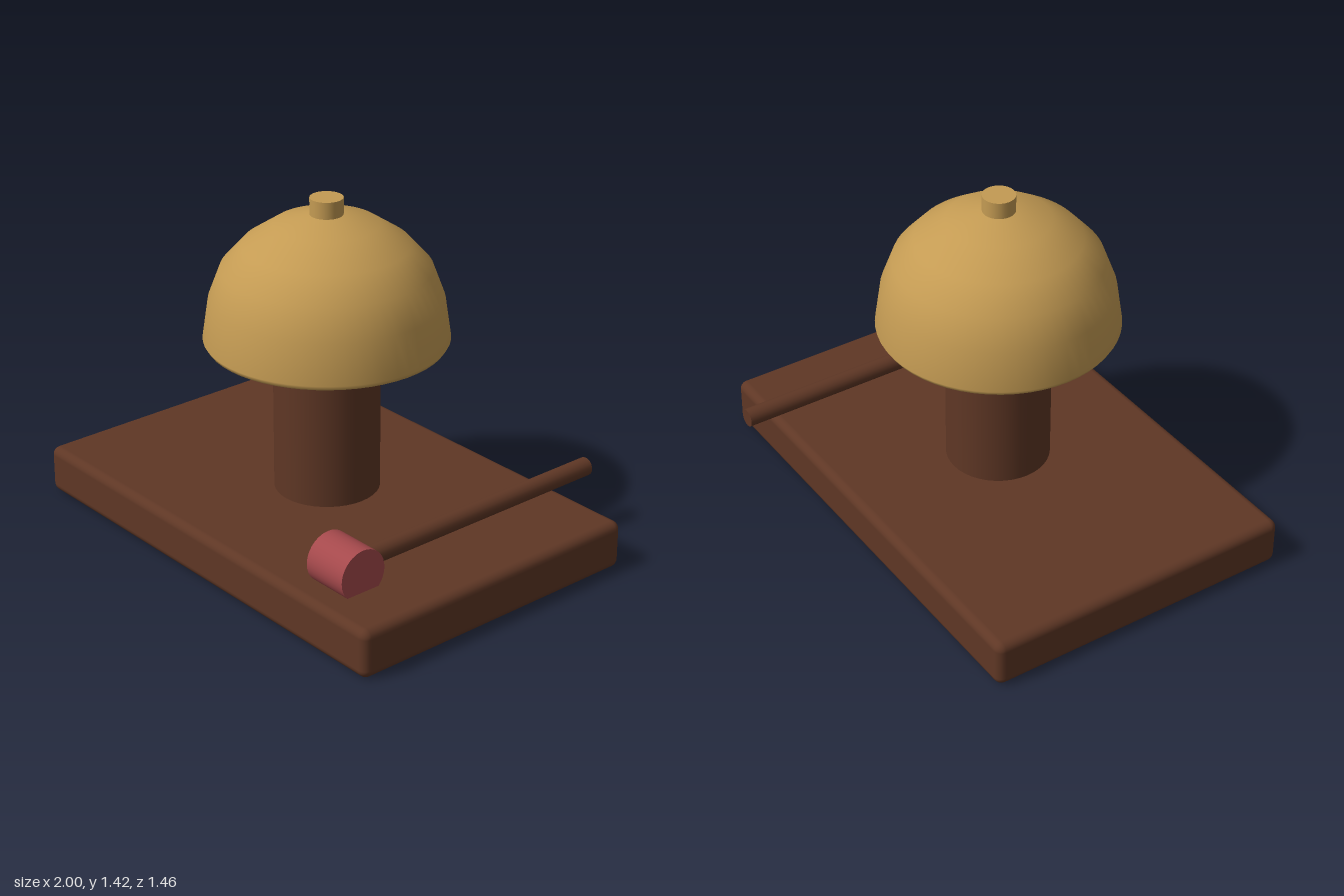
import * as THREE from 'three';
import { RoundedBoxGeometry } from 'three/addons/geometries/RoundedBoxGeometry.js';

const CENTER_Z = 0.065; // shared axis of base, post and bell

function material(name, color) {
  const m = new THREE.MeshStandardMaterial({ color });
  m.name = name;
  return m;
}

export function createModel() {
  const wood = material('dark wood', 0x5f3725);
  const brass = material('brass', 0xc49b53);
  brass.side = THREE.DoubleSide;
  const felt = material('red felt', 0xa5494c);

  const model = new THREE.Group();
  model.name = 'deskBell';
  const add = (name, geometry, mat, x, y, z) => {
    const mesh = new THREE.Mesh(geometry, mat);
    mesh.name = name;
    mesh.position.set(x, y, z);
    model.add(mesh);
    return mesh;
  };

  // Wooden base slab and post
  add('base', new RoundedBoxGeometry(2, 0.2, 1.33, 3, 0.035), wood, 0, 0.1, CENTER_Z);
  add('post', new THREE.CylinderGeometry(0.213, 0.213, 0.68, 40), wood, 0, 0.52, CENTER_Z);

  // Hollow bell: inner wall up to the lip, then the outer wall up to the crown
  const outer = [
    [0.487, 0.85], [0.463, 1.012], [0.415, 1.14], [0.33, 1.235],
    [0.208, 1.317], [0.075, 1.355], [0, 1.36],
  ];
  const inner = outer.map(([r, y]) => [r * 0.955, y - 0.022]).reverse();
  const profile = [...inner, [0.475, 0.83], ...outer];
  add('bell', new THREE.LatheGeometry(profile.map(([r, y]) => new THREE.Vector2(r, y)), 56),
    brass, 0, 0, CENTER_Z);

  // Knob on the crown
  add('knob', new THREE.CylinderGeometry(0.066, 0.066, 0.08, 28), brass, 0, 1.384, CENTER_Z);

  // Striker resting on the base
  const handle = add('strikerHandle', new THREE.CylinderGeometry(0.038, 0.038, 1.21, 20),
    wood, 0.665, 0.269, -0.128);
  handle.rotation.x = Math.PI / 2;
  const head = add('strikerHead', new THREE.CylinderGeometry(0.104, 0.104, 0.2, 36),
    felt, 0.665, 0.271, 0.535);
  head.rotation.z = Math.PI / 2;

  return model;
}
